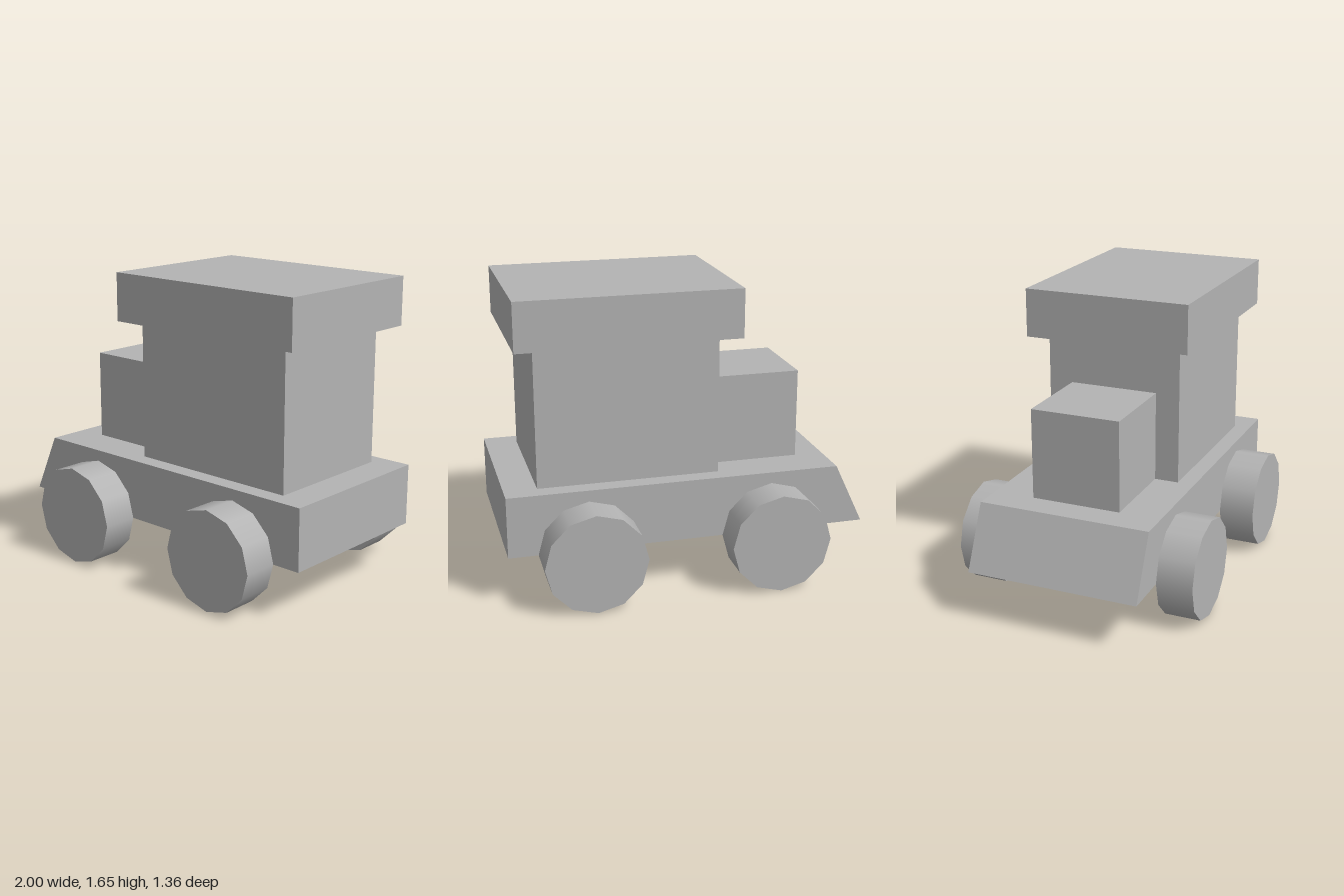
import * as THREE from 'three';

export function createModel() {
  const model = new THREE.Group();
  model.name = 'toyTrain';

  const grey = new THREE.MeshStandardMaterial({ color: 0xb3b3b3 });
  grey.name = 'plain grey';

  function add(name, geometry, x = 0, y = 0, z = 0) {
    const mesh = new THREE.Mesh(geometry, grey);
    mesh.name = name;
    mesh.position.set(x, y, z);
    model.add(mesh);
    return mesh;
  }

  // Box given by its x range, y range and full depth
  function block(name, x0, x1, y0, y1, depth) {
    add(name, new THREE.BoxGeometry(x1 - x0, y1 - y0, depth), (x0 + x1) / 2, (y0 + y1) / 2);
  }

  // Chassis with a sloped nose
  const profile = new THREE.Shape([
    new THREE.Vector2(-1, 0.28),
    new THREE.Vector2(1, 0.28),
    new THREE.Vector2(1, 0.62),
    new THREE.Vector2(-0.84, 0.62),
  ]);
  add('chassis', new THREE.ExtrudeGeometry(profile, { depth: 0.96, bevelEnabled: false }), 0, 0, -0.48);

  // Engine, cab and overhanging roof
  block('engineBlock', -0.68, -0.18, 0.62, 1.12, 0.5);
  block('cab', -0.18, 0.82, 0.62, 1.39, 0.77);
  block('roof', -0.29, 0.925, 1.387, 1.655, 0.934);

  // Twelve-sided wheels with smooth rims, flush against the chassis sides
  const wheel = new THREE.CylinderGeometry(0.278, 0.278, 0.2, 12);
  wheel.rotateX(Math.PI / 2);
  for (const [end, x] of [['front', -0.46], ['rear', 0.56]]) {
    for (const [side, z] of [['Left', 0.58], ['Right', -0.58]]) {
      add(`${end}${side}Wheel`, wheel, x, 0.28, z);
    }
  }

  return model;
}
